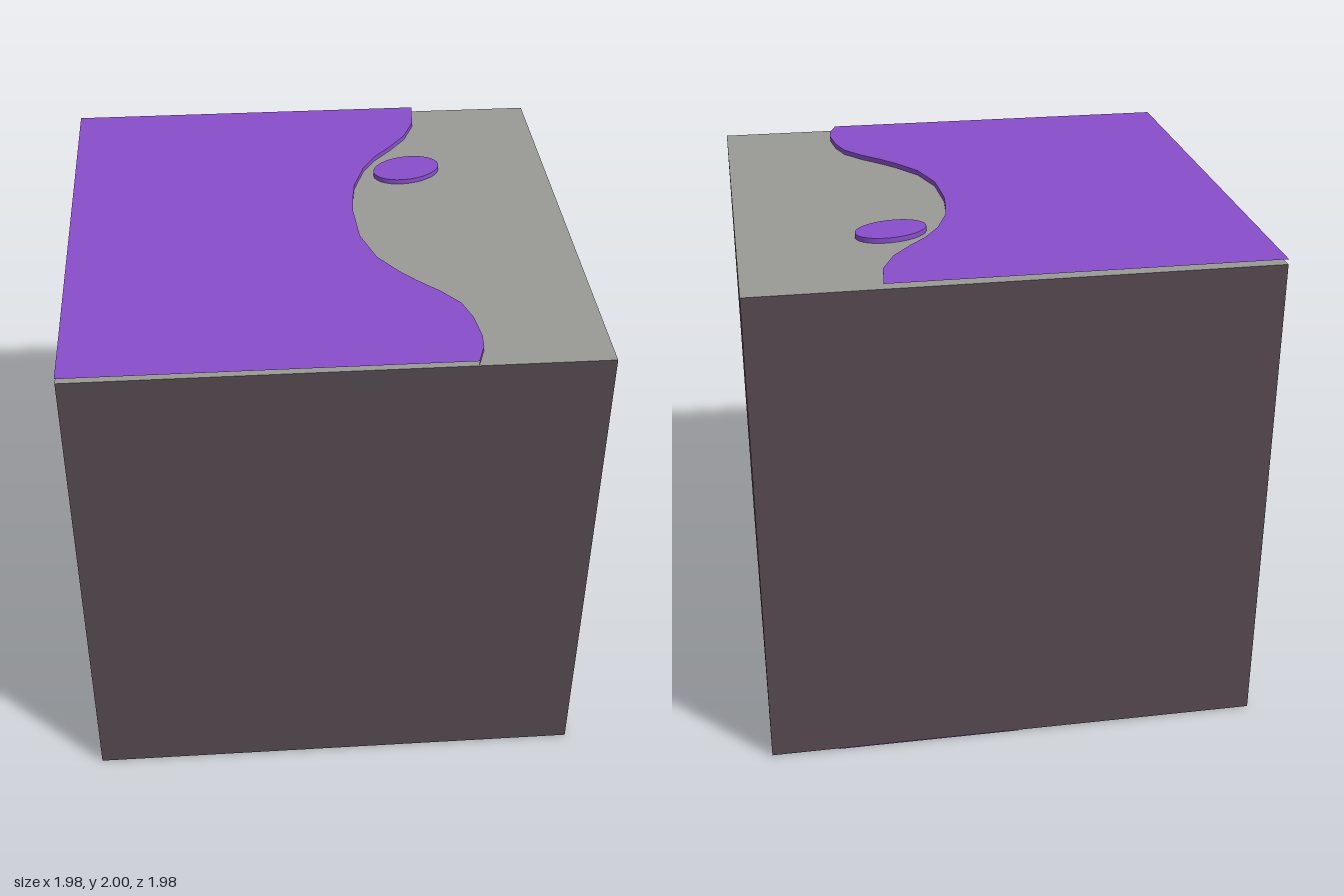
import * as THREE from 'three';

const HALF = 0.99;      // half width of the cube
const TOP = 1.98;       // top face of the cube
const SKIN = 2;         // height of the raised purple layer

const paint = (name, color, side = THREE.FrontSide) => {
  const m = new THREE.MeshStandardMaterial({ color, side });
  m.name = name;
  return m;
};

export function createModel() {
  const group = new THREE.Group();
  const brown = paint('brown', 0x574b52);
  const grey = paint('grey', 0x999995);
  const darkGrey = paint('darkGrey', 0x5c605e);
  const teal = paint('teal', 0x80a89b);
  const purple = paint('purple', 0x884ecb, THREE.DoubleSide);

  const add = (name, geometry, material) => {
    const mesh = new THREE.Mesh(geometry, material);
    mesh.name = name;
    group.add(mesh);
    return mesh;
  };

  // Cube: brown sides, grey top and underside
  const lift = 0.003;
  const cube = new THREE.BoxGeometry(2 * HALF, TOP - lift, 2 * HALF);
  cube.translate(0, (TOP + lift) / 2, 0);
  add('cube', cube, [brown, brown, grey, grey, brown, brown]);

  // Wavy shoreline from back to front, as [x, z]
  const shore = [
    [0.49, -HALF], [0.475, -0.84], [0.425, -0.72], [0.35, -0.62], [0.28, -0.54],
    [0.22, -0.44], [0.17, -0.30], [0.155, -0.20], [0.145, -0.09], [0.155, 0.11],
    [0.205, 0.27], [0.28, 0.38], [0.34, 0.45], [0.42, 0.53], [0.485, 0.615],
    [0.515, 0.71], [0.53, 0.83], [0.525, 0.90], [0.495, HALF],
  ];

  // Raised layer: a flat sheet, open on the cube's outer edges
  const outline = [[-HALF, HALF], ...[...shore].reverse(), [-HALF, -HALF]];
  const sheet = new THREE.ShapeGeometry(
    new THREE.Shape(outline.map(([x, z]) => new THREE.Vector2(x, -z))));
  sheet.rotateX(-Math.PI / 2).translate(0, SKIN, 0);
  add('raisedLayer', sheet, purple);

  // Low wall along the shoreline
  const positions = [];
  const index = [];
  shore.forEach(([x, z], i) => {
    positions.push(x, TOP, z, x, SKIN, z);
    if (i === 0) return;
    const a = 2 * (i - 1);
    index.push(a, a + 1, a + 2, a + 1, a + 3, a + 2);
  });
  const wall = new THREE.BufferGeometry();
  wall.setAttribute('position', new THREE.Float32BufferAttribute(positions, 3));
  wall.setIndex(index);
  wall.computeVertexNormals();
  add('shoreWall', wall, purple);

  // Oval island
  const island = add('island', new THREE.CylinderGeometry(1, 1, SKIN - TOP, 32), purple);
  island.scale.set(0.144, 1, 0.096);
  island.rotation.y = 0.32;
  island.position.set(0.40, (TOP + SKIN) / 2, -0.43);

  // Flat patches on the underside: name, material, x range, z range
  const patches = [
    ['purplePatch', purple, -0.015, 0.72, -HALF, -0.03],
    ['tealPatch', teal, -0.78, -0.015, -0.79, -0.03],
    ['brownPatch', brown, -0.78, -0.015, -0.03, 0.97],
    ['darkPatch', darkGrey, -0.015, 0.72, -0.03, 0.69],
    ['darkSideStrip', darkGrey, 0.72, HALF, -HALF, -0.03],
    ['darkBackStrip', darkGrey, -0.78, -0.015, -HALF, -0.79],
  ];
  for (const [name, material, x0, x1, z0, z1] of patches) {
    const plate = new THREE.PlaneGeometry(x1 - x0, z1 - z0);
    plate.rotateX(Math.PI / 2).translate((x0 + x1) / 2, 0, (z0 + z1) / 2);
    add(name, plate, material);
  }

  return group;
}
